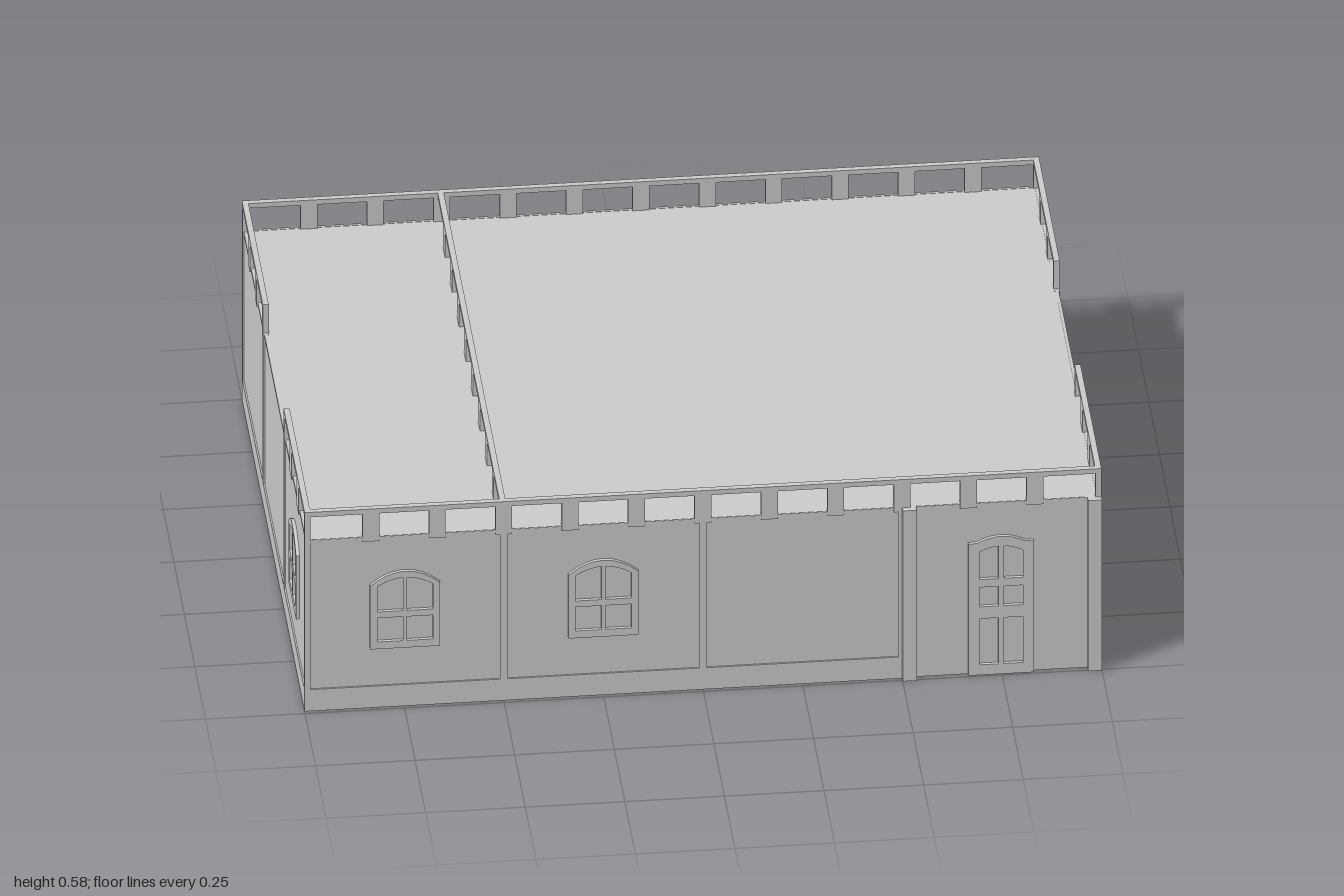
import * as THREE from 'three';

const MAT = new THREE.MeshStandardMaterial({ color: 0xcccccc, flatShading: true, side: THREE.DoubleSide });
const WALL_H = 0.5, RAIL_H = 0.583, T = 0.015, BASE_H = 0.063;

// box given by its min and max corners
function box(name, x0, x1, y0, y1, z0, z1) {
  const m = new THREE.Mesh(new THREE.BoxGeometry(x1 - x0, y1 - y0, z1 - z0), MAT);
  m.position.set((x0 + x1) / 2, (y0 + y1) / 2, (z0 + z1) / 2);
  m.name = name;
  return m;
}

// closed outline whose top edge rises from yl through ym to yr
function archedPath(Type, x0, x1, y0, yl, ym, yr) {
  const p = new Type();
  p.moveTo(x0, y0);
  p.lineTo(x1, y0);
  p.lineTo(x1, yr);
  p.quadraticCurveTo((x0 + x1) / 2, 2 * ym - (yl + yr) / 2, x0, yl);
  p.closePath();
  return p;
}

function frameMesh(name, shape, x) {
  const geo = new THREE.ExtrudeGeometry(shape, { depth: T + 0.01, bevelEnabled: false, curveSegments: 8 });
  const m = new THREE.Mesh(geo, MAT);
  m.position.set(x, 0, -T - 0.005);
  m.name = name;
  return m;
}

// two mirrored panes, taller towards the middle
function addPanes(shape, a, b, y0, yOuter, yInner) {
  const mid = (yOuter + yInner) / 2 + (yInner - yOuter) * 0.2;
  shape.holes.push(archedPath(THREE.Path, a, b, y0, yInner, mid, yOuter));
  shape.holes.push(archedPath(THREE.Path, -b, -a, y0, yOuter, mid, yInner));
}

function windowFrame(x) {
  const s = archedPath(THREE.Shape, -0.088, 0.088, 0.174, 0.36, 0.398, 0.36);
  addPanes(s, 0.005, 0.07, 0.195, 0.265, 0.265);
  addPanes(s, 0.005, 0.07, 0.283, 0.357, 0.38);
  return frameMesh('windowFrame', s, x);
}

function doorFrame(x) {
  const s = new THREE.Shape();
  s.moveTo(-0.082, 0);
  s.lineTo(0.082, 0);
  s.lineTo(0.082, 0.385);
  s.lineTo(0.06, 0.387);
  s.quadraticCurveTo(0, 0.42, -0.06, 0.387);
  s.lineTo(-0.082, 0.385);
  s.closePath();
  addPanes(s, 0.007, 0.055, 0.03, 0.165, 0.165);
  addPanes(s, 0.007, 0.055, 0.2, 0.257, 0.257);
  addPanes(s, 0.007, 0.055, 0.28, 0.36, 0.375);
  return frameMesh('door', s, x);
}

// wall along local x with its outer face on z = 0; the base stops at baseEnd
function wall(name, length, bays, baseEnd = length / 2) {
  const g = new THREE.Group(), h = length / 2;
  g.name = name;
  g.add(box('wallPanel', -h, h, 0, WALL_H, -T + 0.004, -0.004));
  g.add(box('baseboard', -h, baseEnd, 0, BASE_H, -T, 0));
  for (let i = 0; i <= bays; i++) {
    const x = -h + (i * length) / bays;
    g.add(box('stile', Math.max(-h, x - 0.009), Math.min(h, x + 0.009), 0, WALL_H, -T, 0));
  }
  return g;
}

// parapet of flat posts under a thin top bar, from x0 to x1
function railing(x0, x1, openings) {
  const g = new THREE.Group();
  g.name = 'railing';
  g.add(box('topBar', x0, x1, RAIL_H - 0.014, RAIL_H, -T, 0));
  for (let i = 0; i <= openings; i++) {
    const x = x0 + ((x1 - x0) * i) / openings;
    const left = i === 0 ? x0 : x - (i === openings ? 0.015 : 0.021);
    const right = i === openings ? x1 : x + (i === 0 ? 0.015 : 0.021);
    g.add(box('post', left, right, 0.488, RAIL_H - 0.014, -T, 0));
  }
  return g;
}

function place(group, x, z, turn) {
  group.position.set(x, 0, z);
  group.rotation.y = turn;
  return group;
}

export function createModel() {
  const model = new THREE.Group();
  model.name = 'building';
  const zf = 0.74, zb = -0.75, depth = zf - zb, zc = (zf + zb) / 2, hd = depth / 2;

  // front wall with windows, door and pilasters
  const front = wall('frontWall', 2, 4, 0.5);
  front.add(windowFrame(-0.748), windowFrame(-0.25), doorFrame(0.748), railing(-1, 1, 12));
  for (const x of [0.5, 0.965]) front.add(box('pilaster', x, x + 0.035, 0, WALL_H, -T, 0.015));
  model.add(place(front, 0, zf, 0));

  // back wall
  const back = wall('backWall', 2, 4);
  back.add(windowFrame(-0.247), windowFrame(0.25), railing(-1, 1, 12));
  model.add(place(back, 0, zb, Math.PI));

  // side walls, railed on the end bays only
  for (const side of [1, -1]) {
    const w = wall(side > 0 ? 'leftWall' : 'rightWall', depth, 3);
    w.add(railing(-hd, -hd + 0.497, 3), railing(hd - 0.497, hd, 3));
    if (side < 0) w.add(windowFrame(0.5));
    model.add(place(w, side, zc, (side * Math.PI) / 2));
  }

  // roof deck and the railing that divides it
  model.add(box('roofDeck', -0.997, 0.997, 0.491, 0.499, zb + 0.003, zf - 0.003));
  const divider = railing(-hd, hd, 9);
  divider.name = 'dividingRailing';
  model.add(place(divider, -0.495, zc, Math.PI / 2));

  return model;
}
